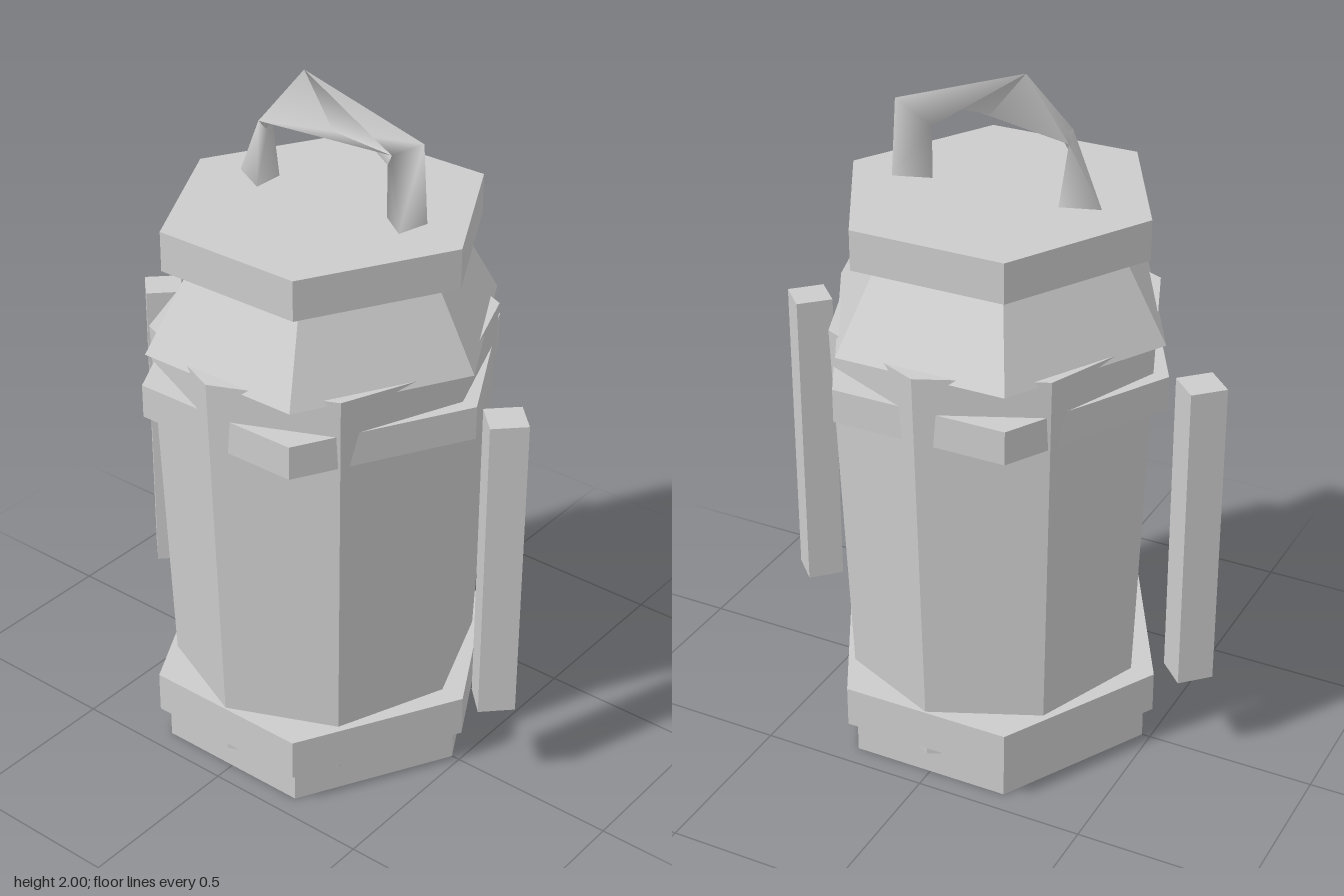
import * as THREE from 'three';

const flat = new THREE.MeshStandardMaterial({ color: 0xcccccc, flatShading: true });
const smooth = new THREE.MeshStandardMaterial({ color: 0xcccccc, side: THREE.DoubleSide });
const DEPTH = 1.06; // the lantern is slightly deeper than a regular polygon

// Upright prism between heights y0 and y1; turn rotates it about y
function prism(name, sides, turn, rBottom, rTop, y0, y1, depth = DEPTH) {
  const g = new THREE.CylinderGeometry(rTop, rBottom, y1 - y0, sides);
  g.rotateY(turn).scale(1, 1, depth).translate(0, (y0 + y1) / 2, 0);
  const mesh = new THREE.Mesh(g, flat);
  mesh.name = name;
  return mesh;
}

// Twisted triangular band lofted through four cross-sections
function carryHandle() {
  const rings = [
    [[-0.31, 1.655, -0.01], [-0.2, 1.655, -0.045], [-0.2, 1.655, 0.05]],
    [[-0.09, 2.0, -0.02], [-0.23, 1.84, -0.05], [-0.2, 1.845, 0.04]],
    [[0.19, 1.805, -0.02], [0.25, 1.87, 0.042], [0.285, 1.88, -0.05]],
    [[0.19, 1.655, -0.02], [0.275, 1.655, 0.04], [0.297, 1.655, -0.055]],
  ];
  const index = [];
  for (let i = 0; i < rings.length - 1; i++) {
    for (let j = 0; j < 3; j++) {
      const a = i * 3 + j, b = i * 3 + (j + 1) % 3, c = a + 3, d = b + 3;
      if (j === 0) index.push(a, d, b, a, c, d);
      else index.push(a, c, b, b, c, d);
    }
  }
  const g = new THREE.BufferGeometry();
  g.setAttribute('position', new THREE.Float32BufferAttribute(rings.flat(2), 3));
  g.setIndex(index);
  g.computeVertexNormals();
  const mesh = new THREE.Mesh(g, smooth);
  mesh.name = 'carryHandle';
  return mesh;
}

export function createModel() {
  const model = new THREE.Group();
  model.name = 'lantern';
  const hex = Math.PI / 6; // puts a hexagon corner on each side

  // Stepped hexagonal foot
  model.add(prism('base', 6, hex, 0.475, 0.475, 0, 0.102));
  model.add(prism('baseRing', 6, hex, 0.505, 0.505, 0.102, 0.225));

  // Octagonal body widening upwards, its corners breaking through the band
  model.add(prism('body', 8, 0, 0.427, 0.473, 0.075, 1.31));
  model.add(prism('upperBand', 6, hex, 0.515, 0.515, 1.105, 1.203));

  // Sloping shoulder and the separate lid above it
  model.add(prism('shoulder', 6, hex, 0.503, 0.385, 1.295, 1.51));
  model.add(prism('lid', 6, hex, 0.45, 0.45, 1.535, 1.65));

  // Diamond-section posts standing off both sides
  for (const side of [-1, 1]) {
    const post = prism(side > 0 ? 'leftPost' : 'rightPost', 4, 0, 0.075, 0.075, 0.275, 1.205, 1);
    post.position.x = side * 0.61;
    model.add(post);
  }

  model.add(carryHandle());
  return model;
}
